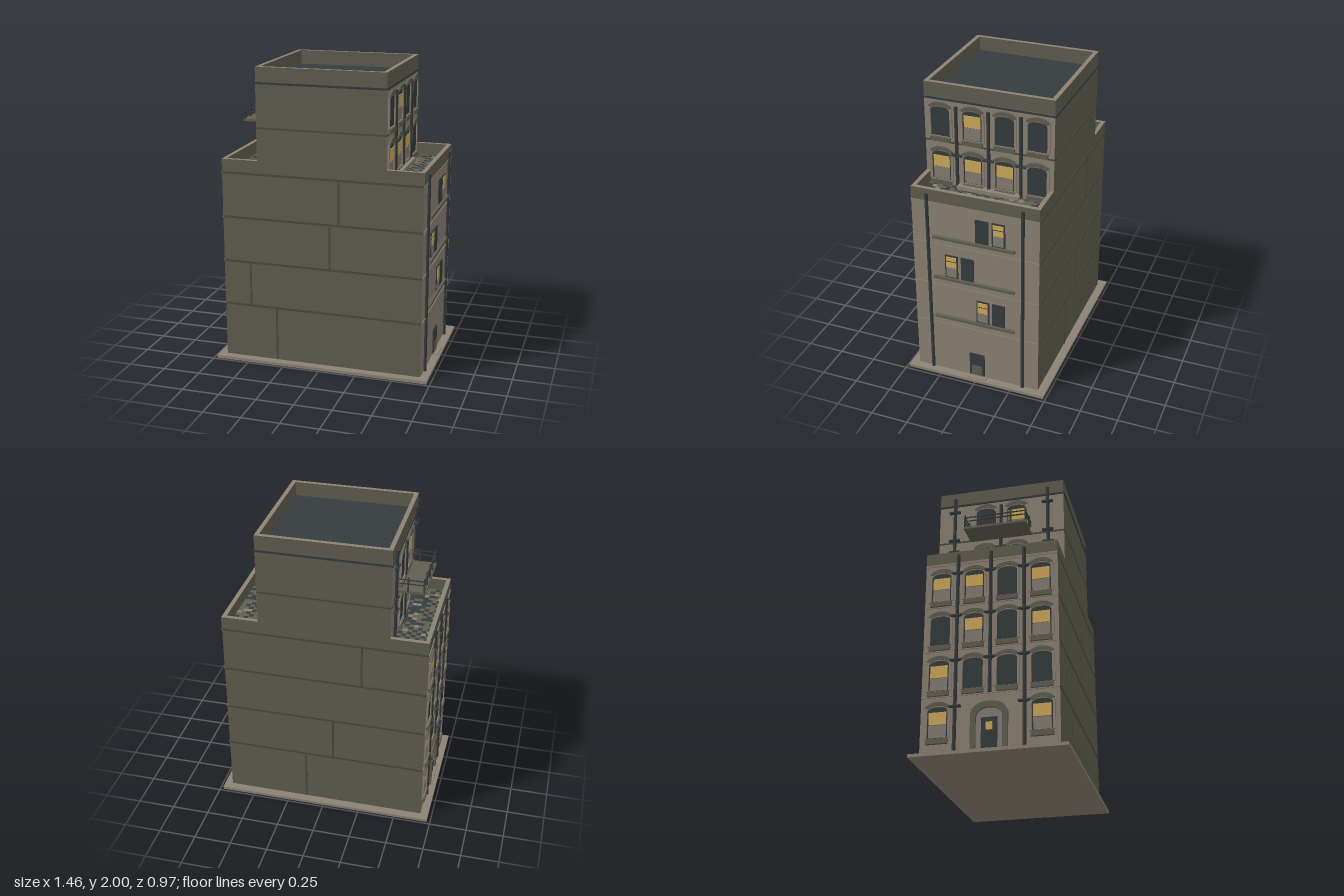
import * as THREE from 'three';
import { mergeGeometries } from 'three/addons/utils/BufferGeometryUtils.js';

const mat = (name, color) => {
  const m = new THREE.MeshStandardMaterial({ color });
  m.name = name;
  return m;
};
const olive = mat('olive wall', 0x605e50);
const tan = mat('tan stone', 0x8c8174);
const slate = mat('dark slate', 0x353c3d);
const seam = mat('seam', 0x4c4a3f);
const glow = mat('lit window', 0xcfa95a);
const blind = mat('grey blind', 0x857d73);

function add(parent, name, geo, m) {
  const mesh = new THREE.Mesh(geo, m);
  mesh.name = name;
  parent.add(mesh);
  return mesh;
}

// Box given by its ranges on the three axes
function box(parent, name, m, x0, x1, y0, y1, z0, z1) {
  const mesh = add(parent, name, new THREE.BoxGeometry(x1 - x0, y1 - y0, z1 - z0), m);
  mesh.position.set((x0 + x1) / 2, (y0 + y1) / 2, (z0 + z1) / 2);
  return mesh;
}

// Flat-sided opening with a shallow arched top
function archPath(P, x, y0, w, h, rise) {
  const p = new P();
  p.moveTo(x - w / 2, y0);
  p.lineTo(x + w / 2, y0);
  p.lineTo(x + w / 2, y0 + h - rise);
  p.quadraticCurveTo(x + w * 0.42, y0 + h, x, y0 + h);
  p.quadraticCurveTo(x - w * 0.42, y0 + h, x - w / 2, y0 + h - rise);
  p.closePath();
  return p;
}
const extrude = (shape, depth) =>
  new THREE.ExtrudeGeometry(shape, { depth, bevelEnabled: false, curveSegments: 5 });

// Arched surround, pane, hood and sill; floor is the base height of the storey
function archWindow(face, x, floor, lit) {
  const g = new THREE.Group();
  g.name = 'archedWindow';
  face.add(g);
  const y = floor + 0.035;
  const frame = archPath(THREE.Shape, x, y, 0.16, 0.222, 0.03);
  frame.holes.push(archPath(THREE.Path, x, y + 0.001, 0.128, 0.2, 0.025));
  add(g, 'windowSurround', extrude(frame, 0.01), tan);
  add(g, 'windowPane', extrude(archPath(THREE.Shape, x, y, 0.13, 0.203, 0.025), 0.003), slate);
  if (lit) {
    box(g, 'blind', blind, x - 0.055, x + 0.055, y + 0.005, y + 0.085, 0, 0.006);
    box(g, 'litPane', glow, x - 0.055, x + 0.055, y + 0.088, y + 0.168, 0, 0.006);
  }
  const hood = new THREE.Shape();
  hood.moveTo(x - 0.078, y + 0.2);
  hood.quadraticCurveTo(x - 0.05, y + 0.232, x, y + 0.232);
  hood.quadraticCurveTo(x + 0.05, y + 0.232, x + 0.078, y + 0.2);
  hood.lineTo(x + 0.06, y + 0.19);
  hood.quadraticCurveTo(x, y + 0.226, x - 0.06, y + 0.19);
  add(g, 'windowHood', extrude(hood, 0.015), olive);
  box(g, 'windowSill', olive, x - 0.068, x + 0.068, floor, floor + 0.03, 0, 0.018);
}

// Drainpipe with optional wide collars
function pipe(face, x, y0, y1, collars = []) {
  const p = add(face, 'drainpipe', new THREE.CylinderGeometry(0.012, 0.012, y1 - y0, 8), slate);
  p.position.set(x, (y0 + y1) / 2, 0.006);
  for (const y of collars) box(face, 'pipeCollar', slate, x - 0.037, x + 0.037, y - 0.006, y + 0.006, 0, 0.023);
}

// Group whose local z points out of the wall
function wallFace(parent, name, x) {
  const g = new THREE.Group();
  g.name = name;
  g.position.x = x;
  g.rotation.y = Math.sign(x) * Math.PI / 2;
  parent.add(g);
  return g;
}

export function createModel() {
  const root = new THREE.Group();
  root.name = 'building';
  const W = 0.675, T = 0.43, D = 0.43, t = 0.028;
  const walls = [tan, tan, slate, tan, olive, olive];
  const capped = [olive, olive, tan, olive, olive, olive];

  // Main masses
  box(root, 'plinth', tan, -0.728, 0.728, 0, 0.02, -0.485, 0.485);
  box(root, 'lowerBlock', walls, -W, W, 0.02, 1.305, -D, D);
  box(root, 'tower', walls, -T, T, 1.305, 1.905, -D, D);

  // Parapets
  for (const s of [-1, 1]) {
    const range = (a, b) => (s > 0 ? [a, b] : [-b, -a]);
    box(root, 'towerParapetSide', capped, ...range(T - t, T), 1.9, 2, -D, D);
    box(root, 'towerParapetEnd', capped, -T + t, T - t, 1.9, 2, ...range(D - t, D));
    box(root, 'terraceParapetSide', capped, ...range(W - t, W), 1.3, 1.39, -D, D);
    for (const e of [-1, 1]) {
      const [z0, z1] = e > 0 ? [D - t, D] : [-D, -D + t];
      box(root, 'terraceParapetEnd', capped, ...range(T, W - t), 1.3, 1.39, z0, z1);
    }
  }
  box(root, 'cornice', slate, -T - 0.006, T + 0.006, 1.89, 1.903, -D - 0.006, D + 0.006);

  // Horizontal joints and staggered vertical joints
  const levels = [0.02, 0.39, 0.695, 1.0, 1.3];
  for (const y of levels.slice(1)) {
    for (const s of [-1, 1]) {
      const strip = (name, m, a, b, w) => s > 0
        ? box(root, name, m, ...(w ? [a, b, y - 0.007, y + 0.007, -D, D] : [-W, W, y - 0.007, y + 0.007, a, b]))
        : box(root, name, m, ...(w ? [-b, -a, y - 0.007, y + 0.007, -D, D] : [-W, W, y - 0.007, y + 0.007, -b, -a]));
      strip('wallJoint', seam, D, D + 0.003, false);
      strip('sideBand', tan, W, W + 0.005, true);
    }
  }
  box(root, 'towerJoint', seam, -T - 0.003, T + 0.003, 1.602, 1.613, -D - 0.003, D + 0.003);
  [[-0.31, 0], [-0.49, 1], [0.06, 2], [0.12, 3]].forEach(([x, i]) =>
    box(root, 'frontJoint', seam, x - 0.006, x + 0.006, levels[i], levels[i + 1], D, D + 0.003));
  [[0.13, 0], [-0.06, 1], [-0.25, 3]].forEach(([x, i]) =>
    box(root, 'backJoint', seam, x - 0.006, x + 0.006, levels[i], levels[i + 1], -D - 0.003, -D));

  // Terrace mosaic paving
  let seed = 7;
  const random = () => (seed = (seed * 16807) % 2147483647) / 2147483647;
  const tiles = new Map([[olive, []], [tan, []], [blind, []]]);
  const c = 0.031;
  for (const x0 of [-W + t, T + 0.001]) {
    for (let i = 0; i < 7; i++) for (let j = 0; j < 26; j++) {
      const r = random();
      const m = (i + j) % 2 ? (r < 0.75 ? olive : r < 0.85 ? tan : null) : (r < 0.12 ? blind : r < 0.3 ? olive : null);
      if (!m) continue;
      const g = new THREE.PlaneGeometry(c, c).rotateX(-Math.PI / 2);
      tiles.get(m).push(g.translate(x0 + (i + 0.5) * c, 1.308, -0.403 + (j + 0.5) * c));
    }
  }
  for (const [m, list] of tiles) add(root, 'terracePaving', mergeGeometries(list), m);

  // Plain side wall: paired windows over long ledges, door, two pipes
  const right = wallFace(root, 'plainSide', W);
  [[0.465, 0.047, 0.155], [0.77, -0.165, -0.055], [1.07, 0.16, 0.048]].forEach(([y, lit, dark]) => {
    box(right, 'windowLedge', olive, -0.285, 0.27, y - 0.018, y, 0, 0.022);
    for (const x of [lit, dark]) box(right, 'windowFrame', slate, x - 0.044, x + 0.044, y, y + 0.167, 0, 0.006);
    box(right, 'blind', blind, lit - 0.035, lit + 0.035, y + 0.008, y + 0.075, 0, 0.009);
    box(right, 'litPane', glow, lit - 0.035, lit + 0.035, y + 0.078, y + 0.118, 0, 0.009);
    box(right, 'litPaneUpper', glow, lit - 0.035, lit + 0.035, y + 0.126, y + 0.157, 0, 0.009);
  });
  box(right, 'sideDoor', slate, -0.053, 0.053, 0.02, 0.2, 0, 0.008);
  box(right, 'sideDoorPanel', olive, -0.035, 0.035, 0.03, 0.105, 0, 0.012);
  box(right, 'sideDoorStep', tan, -0.06, 0.07, 0.02, 0.027, 0, 0.04);
  for (const x of [-0.322, 0.322]) pipe(right, x, 0.02, 1.36);
  box(right, 'parapetFascia', olive, -D, D, 1.307, 1.39, 0, 0.002);

  // Ornate side wall: four columns of arched windows and an entrance
  const left = wallFace(root, 'ornateSide', -W);
  const columns = [-0.322, -0.107, 0.107, 0.322];
  const litRows = [[1, 0, 0, 1], [1, 0, 0, 0], [0, 1, 0, 1], [1, 1, 0, 1]];
  litRows.forEach((row, r) => columns.forEach((x, k) => {
    if (r > 0 || k % 3 === 0) archWindow(left, x, [0.085, 0.39, 0.695, 1.0][r], row[k]);
  }));
  for (const x of [-0.215, 0, 0.215]) pipe(left, x, x ? 0.02 : 0.39, 1.36, x ? [0.315, 0.62, 0.925, 1.225] : [0.62, 0.925, 1.225]);
  const doorway = archPath(THREE.Shape, 0, 0.02, 0.23, 0.31, 0.07);
  doorway.holes.push(archPath(THREE.Path, 0, 0.021, 0.165, 0.27, 0.06));
  add(left, 'entranceSurround', extrude(doorway, 0.018), olive);
  add(left, 'entranceDoor', extrude(archPath(THREE.Shape, 0, 0.02, 0.17, 0.273, 0.06), 0.004), blind);
  box(left, 'doorLeaf', slate, -0.05, 0.05, 0.02, 0.23, 0, 0.007);
  box(left, 'doorLight', glow, -0.02, 0.02, 0.15, 0.2, 0, 0.01);
  box(left, 'entranceStep', tan, -0.11, 0.11, 0.02, 0.03, 0, 0.03);

  // Tower side over the plain wall
  const towerRight = wallFace(root, 'towerPlainSide', T);
  [[1.305, [1, 1, 1, 0]], [1.61, [0, 1, 0, 0]]].forEach(([y, row]) =>
    columns.forEach((x, k) => archWindow(towerRight, x, y, row[k])));
  for (const x of [-0.215, 0, 0.215]) pipe(towerRight, x, 1.305, 1.86, [1.53]);
  box(towerRight, 'terraceStep', tan, -0.205, 0.215, 1.305, 1.33, 0, 0.045);

  // Tower side over the ornate wall, with balcony
  const towerLeft = wallFace(root, 'towerOrnateSide', -T);
  for (const x of [-0.107, 0.107]) {
    archWindow(towerLeft, x, 1.305, x > 0);
    archWindow(towerLeft, x, 1.61, x > 0);
  }
  for (const x of [-0.322, 0.322]) pipe(towerLeft, x, 1.305, 1.95, [1.53, 1.62, 1.84]);
  pipe(towerLeft, 0, 1.305, 1.86, [1.53]);
  const balcony = new THREE.Group();
  balcony.name = 'balcony';
  towerLeft.add(balcony);
  box(balcony, 'balconyFloor', olive, -0.21, 0.21, 1.6, 1.616, 0, 0.172);
  const post = (x, z) => box(balcony, 'railPost', slate, x - 0.005, x + 0.005, 1.61, 1.71, z - 0.005, z + 0.005);
  for (const x of [-0.205, -0.105, 0, 0.105, 0.205]) post(x, 0.162);
  for (const x of [-0.205, 0.205]) post(x, 0.06);
  for (const y of [1.665, 1.692]) {
    box(balcony, 'frontRail', slate, -0.205, 0.205, y - 0.003, y + 0.003, 0.159, 0.165);
    for (const x of [-0.205, 0.205]) box(balcony, 'sideRail', slate, x - 0.003, x + 0.003, y - 0.003, y + 0.003, 0, 0.165);
  }
  return root;
}
